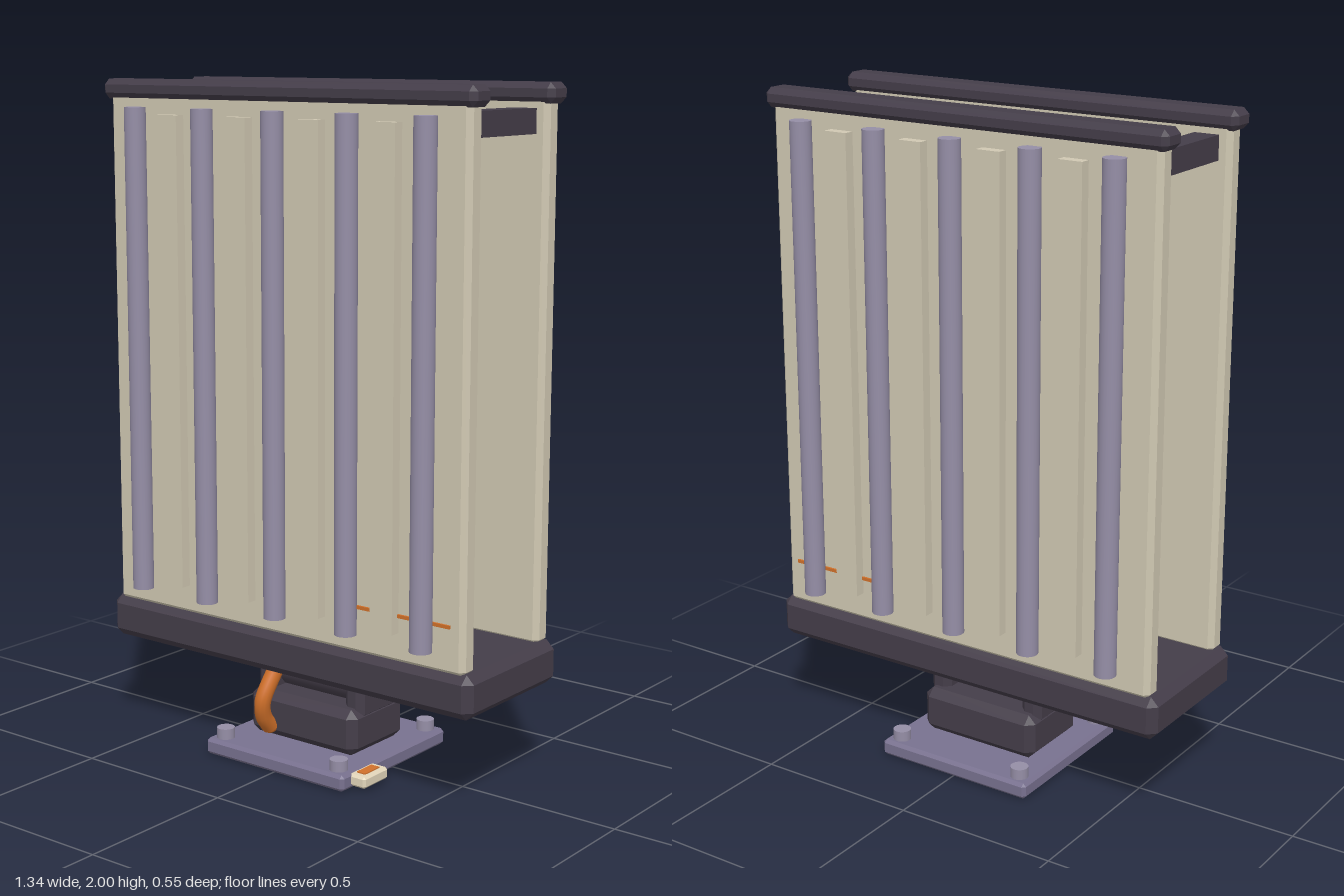
import * as THREE from 'three';
import { ConvexGeometry } from 'three/addons/geometries/ConvexGeometry.js';

const mat = (name, color, flatShading = false) => {
  const m = new THREE.MeshStandardMaterial({ color, flatShading });
  m.name = name;
  return m;
};

// Box with every edge chamfered by c
function chamferBox(w, h, d, c) {
  const [x, y, z] = [w / 2, h / 2, d / 2];
  const pts = [];
  for (const sx of [-1, 1]) for (const sy of [-1, 1]) for (const sz of [-1, 1]) {
    pts.push(
      new THREE.Vector3(sx * x, sy * (y - c), sz * (z - c)),
      new THREE.Vector3(sx * (x - c), sy * y, sz * (z - c)),
      new THREE.Vector3(sx * (x - c), sy * (y - c), sz * z));
  }
  return new ConvexGeometry(pts);
}

export function createModel() {
  const root = new THREE.Group();
  root.name = 'panelArray';
  const dark = mat('darkFrame', 0x443d49);
  const cream = mat('creamPanel', 0xd0c8b2);
  const lavender = mat('lavenderTube', 0x958ea6);
  const plateMat = mat('purplePlate', 0x78718f);
  const orange = mat('orangeCable', 0xd0702a);
  const ivory = mat('ivoryConnector', 0xe2d6ba);

  const add = (name, geo, material, x, y, z, parent = root) => {
    const m = new THREE.Mesh(geo, material);
    m.name = name;
    m.position.set(x, y, z);
    parent.add(m);
    return m;
  };

  // Mounting plate with corner bolts
  add('basePlate', chamferBox(0.52, 0.05, 0.515, 0.01), plateMat, 0, 0.025, 0);
  const boltGeo = new THREE.CylinderGeometry(0.027, 0.027, 0.04, 16);
  for (const x of [-0.215, 0.215]) for (const z of [-0.215, 0.215])
    add('bolt', boltGeo, lavender, x, 0.062, z);

  // Side connector with orange contact
  add('connector', chamferBox(0.07, 0.036, 0.115, 0.007), ivory, 0.273, 0.027, 0.158);
  add('connectorContact', new THREE.BoxGeometry(0.03, 0.008, 0.07), orange, 0.278, 0.044, 0.158);

  // Pedestal and hinge
  add('pedestal', chamferBox(0.4, 0.14, 0.26, 0.025), dark, 0, 0.12, 0);
  for (const s of [-1, 1])
    add('hingeCheek', chamferBox(0.07, 0.15, 0.18, 0.02), dark, s * 0.165, 0.225, 0);
  add('hingeDrum', new THREE.CylinderGeometry(0.06, 0.06, 0.27, 24).rotateZ(Math.PI / 2), dark, 0, 0.24, 0);
  add('hingeNeck', new THREE.BoxGeometry(0.24, 0.08, 0.1), dark, 0, 0.265, 0);
  add('hingePin', new THREE.CylinderGeometry(0.03, 0.03, 0.44, 16).rotateZ(Math.PI / 2), lavender, 0, 0.24, 0);

  // Cable from tray down to pedestal
  const path = new THREE.CatmullRomCurve3([
    [-0.08, 0.31, 0.11], [-0.088, 0.26, 0.14], [-0.1, 0.18, 0.178],
    [-0.107, 0.13, 0.168], [-0.11, 0.085, 0.135],
  ].map(p => new THREE.Vector3(...p)));
  add('cable', new THREE.TubeGeometry(path, 28, 0.025, 12), orange, 0, 0, 0);
  const end = add('cableEnd', new THREE.SphereGeometry(0.025, 12, 8), orange, -0.11, 0.085, 0.135);
  end.scale.y = 0.8;

  // Lower tray
  add('tray', chamferBox(1.34, 0.13, 0.46, 0.025), dark, 0, 0.355, 0);

  // Cross members between the two panels
  for (const [x, y] of [[-0.568, 1.895], [0.568, 1.895], [0, 1.195]])
    add('crossMember', new THREE.BoxGeometry(0.076, 0.07, 0.33), dark, x, y, 0);

  // Front and back panel assemblies
  const panelGeo = chamferBox(1.285, 1.56, 0.064, 0.015);
  const railGeo = chamferBox(1.325, 0.058, 0.09, 0.017);
  const tubeGeo = new THREE.CylinderGeometry(0.032, 0.032, 1.45, 20);
  const ribGeo = new THREE.BoxGeometry(0.076, 1.4, 0.04);
  const stripGeo = new THREE.BoxGeometry(0.32, 0.01, 0.009);
  for (const s of [-1, 1]) {
    const side = new THREE.Group();
    side.name = s > 0 ? 'frontPanelAssembly' : 'backPanelAssembly';
    root.add(side);
    add('panel', panelGeo, cream, 0, 1.19, s * 0.187, side);
    add('topRail', railGeo, dark, 0, 1.971, s * 0.188, side);
    for (let i = -2; i <= 2; i++)
      add('tube', tubeGeo, lavender, i * 0.259, 1.195, s * 0.243, side);
    for (const x of [-0.388, -0.13, 0.13, 0.388])
      add('rib', ribGeo, cream, x, 1.2, s * 0.231, side);
    add('orangeStrip', stripGeo, orange, 0.44, 0.55, s * 0.221, side);
  }
  return root;
}
